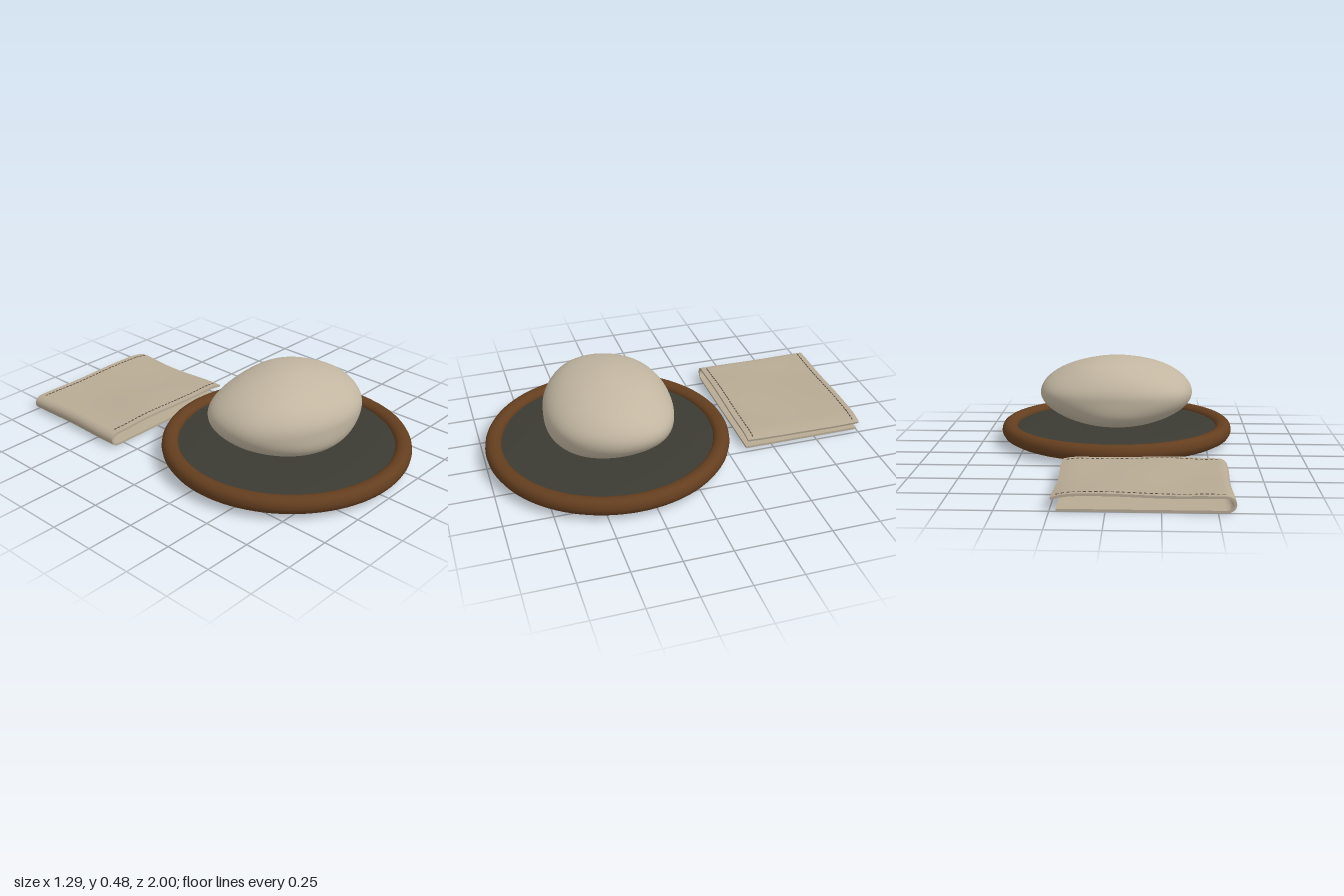
import * as THREE from 'three';
import { toCreasedNormals } from 'three/addons/utils/BufferGeometryUtils.js';

const material = (name, color, side = THREE.FrontSide) => {
  const m = new THREE.MeshStandardMaterial({ color, side });
  m.name = name;
  return m;
};

const mesh = (name, geometry, mat) => {
  const m = new THREE.Mesh(geometry, mat);
  m.name = name;
  return m;
};

const lathe = (points) =>
  new THREE.LatheGeometry(points.map(([x, y]) => new THREE.Vector2(x, y)), 96);

// Pebble: an ellipsoid swollen by a few soft directional lobes
function stoneGeometry() {
  const geo = new THREE.SphereGeometry(1, 96, 64);
  const lobes = [
    [0.75, 0, -0.65, 0.08, 8], [-0.73, 0, -0.68, 0.08, 8],
    [0.5, 0, 0.87, 0.05, 8], [-0.7, 0, 0.7, -0.03, 8],
    [0, 1, 0, 0.035, 18], [0.3, 0.8, -0.52, 0.05, 14],
    [-0.5, 0.75, 0.4, 0.02, 14], [0.5, -0.75, 0.4, 0.03, 12],
  ].map(([x, y, z, k, p]) => ({ dir: new THREE.Vector3(x, y, z).normalize(), k, p }));
  const pos = geo.attributes.position;
  const v = new THREE.Vector3();
  for (let i = 0; i < pos.count; i++) {
    v.fromBufferAttribute(pos, i).normalize();
    let r = 1;
    for (const { dir, k, p } of lobes) r += k * Math.max(0, v.dot(dir)) ** p;
    const widen = v.y < 0 ? 1 + 0.5 * v.y * v.y : 1;
    pos.setXYZ(i, v.x * r * 0.42, v.y * r * 0.19, v.z * r * 0.33 * widen);
  }
  geo.computeVertexNormals();
  // Match normals across the sphere seam
  const n = geo.attributes.normal;
  for (let row = 0; row <= 64; row++) {
    const a = row * 97, b = a + 96;
    v.set(n.getX(a) + n.getX(b), n.getY(a) + n.getY(b), n.getZ(a) + n.getZ(b)).normalize();
    n.setXYZ(a, v.x, v.y, v.z);
    n.setXYZ(b, v.x, v.y, v.z);
  }
  return geo;
}

// Height of the middle of the cloth's upper layer
const HALF = 0.006, FOLD_X = -0.535, Z0 = -1, Z1 = -0.355;
function clothTop(x, z) {
  const blend = THREE.MathUtils.smoothstep(x, FOLD_X, -0.3);
  const wave = 0.004 * Math.cos((z + 0.4) * 9) + 0.004 * Math.sin(x * 9 + z * 5);
  const droop = 0.014 * (Math.max(0, x - 0.14) / 0.1) ** 2;
  return 0.072 + blend * wave - droop;
}

// Folded sheet: lower layer, rounded fold, upper layer, swept along z
function clothGeometry() {
  const flat = 12, arc = 12, top = 36, rows = 36;
  const centreLine = (z) => {
    const pts = [];
    const edge = 0.004 * Math.sin(z * 11);
    for (let i = 0; i < flat; i++)
      pts.push(new THREE.Vector2(THREE.MathUtils.lerp(0.22, FOLD_X, i / flat), HALF));
    for (let i = 0; i < arc; i++) {
      const a = (i / arc) * Math.PI;
      pts.push(new THREE.Vector2(FOLD_X - (0.037 + edge) * Math.sin(a), 0.039 - 0.033 * Math.cos(a)));
    }
    for (let i = 0; i <= top; i++) {
      const x = THREE.MathUtils.lerp(FOLD_X, 0.24 + edge, i / top);
      pts.push(new THREE.Vector2(x, clothTop(x, z)));
    }
    return pts;
  };
  const count = flat + arc + top + 1, loop = count * 2;
  const verts = [], index = [];
  for (let j = 0; j <= rows; j++) {
    const z = THREE.MathUtils.lerp(Z0, Z1, j / rows);
    const line = centreLine(z);
    const side = (i, s) => {
      const t = line[Math.min(i + 1, count - 1)].clone().sub(line[Math.max(i - 1, 0)]).normalize();
      verts.push(line[i].x - t.y * s, line[i].y + t.x * s, z);
    };
    for (let i = 0; i < count; i++) side(i, HALF);
    for (let i = count - 1; i >= 0; i--) side(i, -HALF);
  }
  for (let j = 0; j < rows; j++)
    for (let i = 0; i < loop; i++) {
      const k = (i + 1) % loop;
      const a = j * loop + i, b = j * loop + k, c = a + loop, d = b + loop;
      index.push(a, c, b, b, c, d);
    }
  // Cut edges at both ends
  for (let i = 0; i < count - 1; i++) {
    const o = i, p = i + 1, q = loop - 1 - i, r = loop - 2 - i, e = rows * loop;
    index.push(e + o, e + q, e + r, e + o, e + r, e + p);
    index.push(o, r, q, o, p, r);
  }
  const geo = new THREE.BufferGeometry();
  geo.setAttribute('position', new THREE.Float32BufferAttribute(verts, 3));
  geo.setIndex(index);
  return toCreasedNormals(geo, 0.7);
}

export function createModel() {
  const wood = material('dark wood', 0x643e1f);
  const slate = material('dark inlay', 0x3b3b33);
  const rubber = material('black rubber', 0x252724);
  const pebble = material('pale stone', 0xc2b6a1);
  const linen = material('linen', 0xb7aa94, THREE.DoubleSide);
  const thread = material('stitching', 0x5a5147);

  const model = new THREE.Group();
  model.name = 'stoneOnTrayWithCloth';

  // Round tray with a rolled rim
  const tray = new THREE.Group();
  tray.name = 'tray';
  tray.position.z = 0.35;
  tray.add(mesh('trayBody', lathe([
    [0, 0.017], [0.3, 0.017], [0.57, 0.017], [0.585, 0.018], [0.61, 0.025], [0.632, 0.037],
    [0.643, 0.054], [0.646, 0.07], [0.643, 0.088], [0.635, 0.102], [0.622, 0.111],
    [0.607, 0.115], [0.59, 0.114], [0.575, 0.108], [0.565, 0.099], [0.56, 0.088], [0.56, 0.07],
  ]), wood));
  tray.add(mesh('trayInlay', lathe([
    [0.562, 0.085], [0.5, 0.09], [0.4, 0.096], [0.25, 0.101], [0.1, 0.104], [0, 0.104],
  ]), slate));

  // Three feet under the tray
  for (let i = 0; i < 3; i++) {
    const a = (i / 3) * Math.PI * 2;
    const foot = mesh('foot', lathe([
      [0, 0], [0.05, 0], [0.056, 0.002], [0.06, 0.007], [0.06, 0.02],
    ]), rubber);
    foot.position.set(Math.cos(a) * 0.42, 0, Math.sin(a) * 0.42);
    tray.add(foot);
  }
  model.add(tray);

  // Stone resting on the inlay
  const stone = mesh('stone', stoneGeometry(), pebble);
  stone.position.set(0, 0.283, 0.35);
  model.add(stone);

  // Folded cloth with a row of stitches along each hem
  const cloth = new THREE.Group();
  cloth.name = 'cloth';
  cloth.add(mesh('foldedCloth', clothGeometry(), linen));
  const dash = new THREE.BoxGeometry(0.015, 0.003, 0.006);
  for (const z of [-0.97, -0.388])
    for (let i = 0; i < 31; i++) {
      const x = -0.525 + i * 0.0247;
      const stitch = mesh('stitch', dash, thread);
      stitch.position.set(x, clothTop(x, z) + HALF + 0.0005, z);
      stitch.rotation.z = Math.atan((clothTop(x + 0.005, z) - clothTop(x - 0.005, z)) / 0.01);
      cloth.add(stitch);
    }
  model.add(cloth);

  return model;
}
